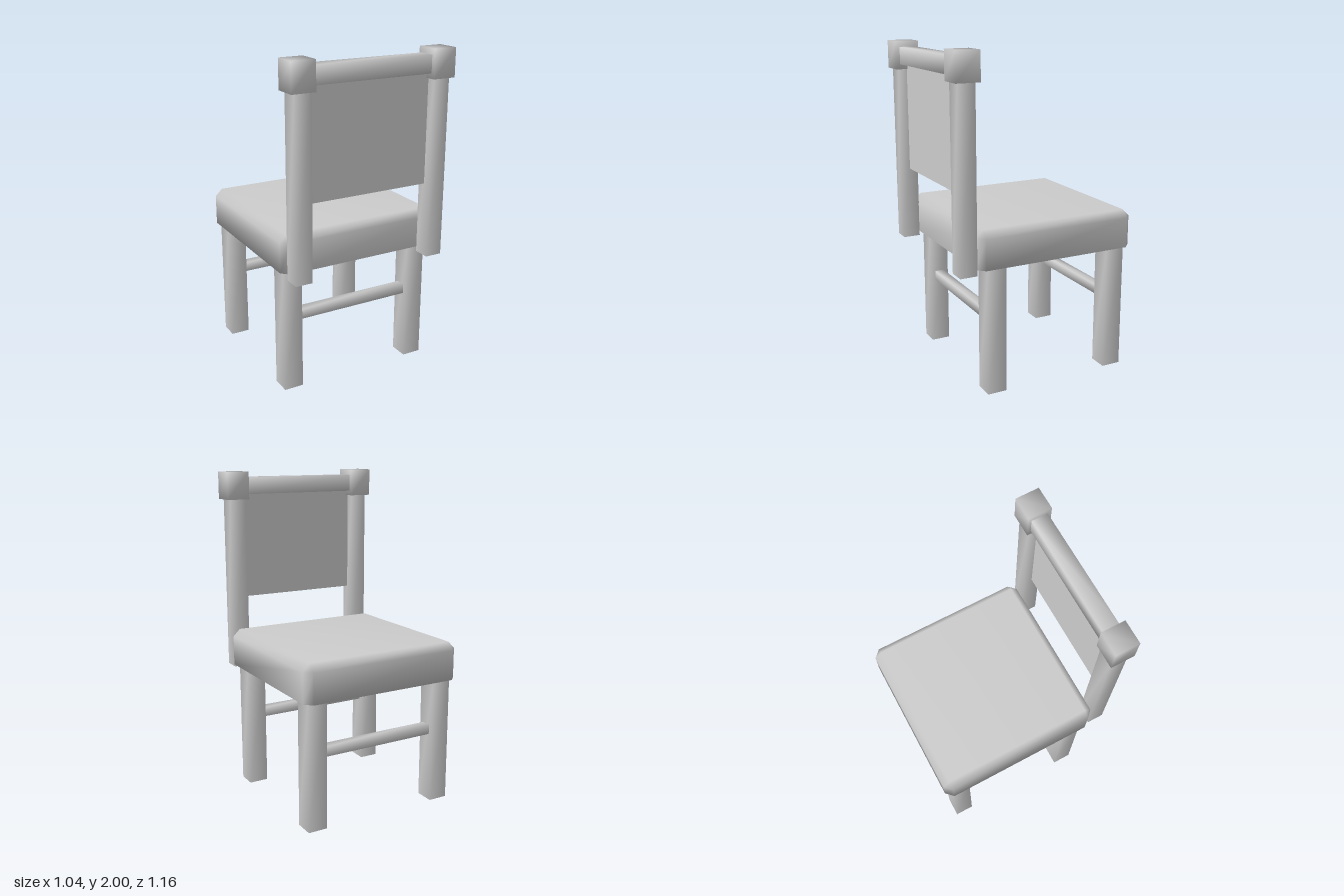
import * as THREE from 'three';
import { mergeVertices } from 'three/addons/utils/BufferGeometryUtils.js';

const material = new THREE.MeshStandardMaterial({ color: 0xcccccc, side: THREE.DoubleSide });

// Share corner vertices so the normals blend across the edges
function smooth(geometry) {
  geometry.deleteAttribute('normal');
  geometry.deleteAttribute('uv');
  const merged = mergeVertices(geometry);
  merged.computeVertexNormals();
  return merged;
}

// Soft-shaded box; open lists the sides left out (0 +x, 1 -x, 2 +y, 3 -y)
function softBox(w, h, d, open = []) {
  const box = new THREE.BoxGeometry(w, h, d);
  const index = Array.from(box.index.array);
  box.setIndex(index.filter((_, i) => !open.includes(Math.floor(i / 6))));
  return smooth(box);
}

// Cushion: cut-corner outline carried up, closed by a bevel to a smaller rectangle
function seatGeometry(w, d, bottom, shoulder, top, bevel) {
  const X = w / 2, Z = d / 2, x = X - bevel, z = Z - bevel;
  const outline = [[X, z], [x, Z], [-x, Z], [-X, z], [-X, -z], [-x, -Z], [x, -Z], [X, -z]];
  const inner = [[x, z], [x, z], [-x, z], [-x, z], [-x, -z], [-x, -z], [x, -z], [x, -z]];
  const points = [];
  for (const [ring, y] of [[outline, bottom], [outline, shoulder], [inner, top]])
    for (const [px, pz] of ring) points.push(px, y, pz);
  const faces = [];
  for (let i = 0; i < 8; i++) {
    const j = (i + 1) % 8;
    faces.push(i, i + 8, j, j, i + 8, j + 8);
    faces.push(i + 8, i + 16, j + 8);
    if (i % 2) faces.push(j + 8, i + 16, j + 16);
  }
  for (let i = 1; i < 7; i++) faces.push(0, i, i + 1);
  faces.push(16, 20, 18, 16, 22, 20);
  const geometry = new THREE.BufferGeometry();
  geometry.setAttribute('position', new THREE.Float32BufferAttribute(points, 3));
  geometry.setIndex(faces);
  return smooth(geometry);
}

export function createModel() {
  const chair = new THREE.Group();
  chair.name = 'chair';
  const add = (name, geometry, x, y, z) => {
    const mesh = new THREE.Mesh(geometry, material);
    mesh.name = name;
    mesh.position.set(x, y, z);
    chair.add(mesh);
  };

  add('seat', seatGeometry(1.04, 1.035, 0.78, 0.965, 1.01, 0.045), 0, 0, -0.062);

  // Four hollow legs with a stretcher across each pair
  const leg = softBox(0.12, 0.78, 0.12, [2, 3]);
  const stretcher = softBox(0.74, 0.06, 0.06, [0, 1]);
  for (const [end, z] of [['front', 0.33], ['back', -0.475]]) {
    add(end + 'LeftLeg', leg, 0.43, 0.39, z);
    add(end + 'RightLeg', leg, -0.43, 0.39, z);
    add(end + 'Stretcher', stretcher, 0, 0.46, z);
  }

  // Backrest posts with square caps
  const post = softBox(0.105, 1.08, 0.105, [2, 3]);
  const cap = softBox(0.145, 0.17, 0.145);
  for (const [side, s] of [['left', 1], ['right', -1]]) {
    add(side + 'Post', post, s * 0.443, 1.29, 0.507);
    add(side + 'PostCap', cap, s * 0.447, 1.915, 0.507);
  }

  // Top rail and thin back panel
  add('topRail', softBox(0.75, 0.105, 0.1, [0, 1]), 0, 1.913, 0.505);
  add('backPanel', new THREE.PlaneGeometry(0.8, 0.68), 0, 1.54, 0.507);

  return chair;
}
